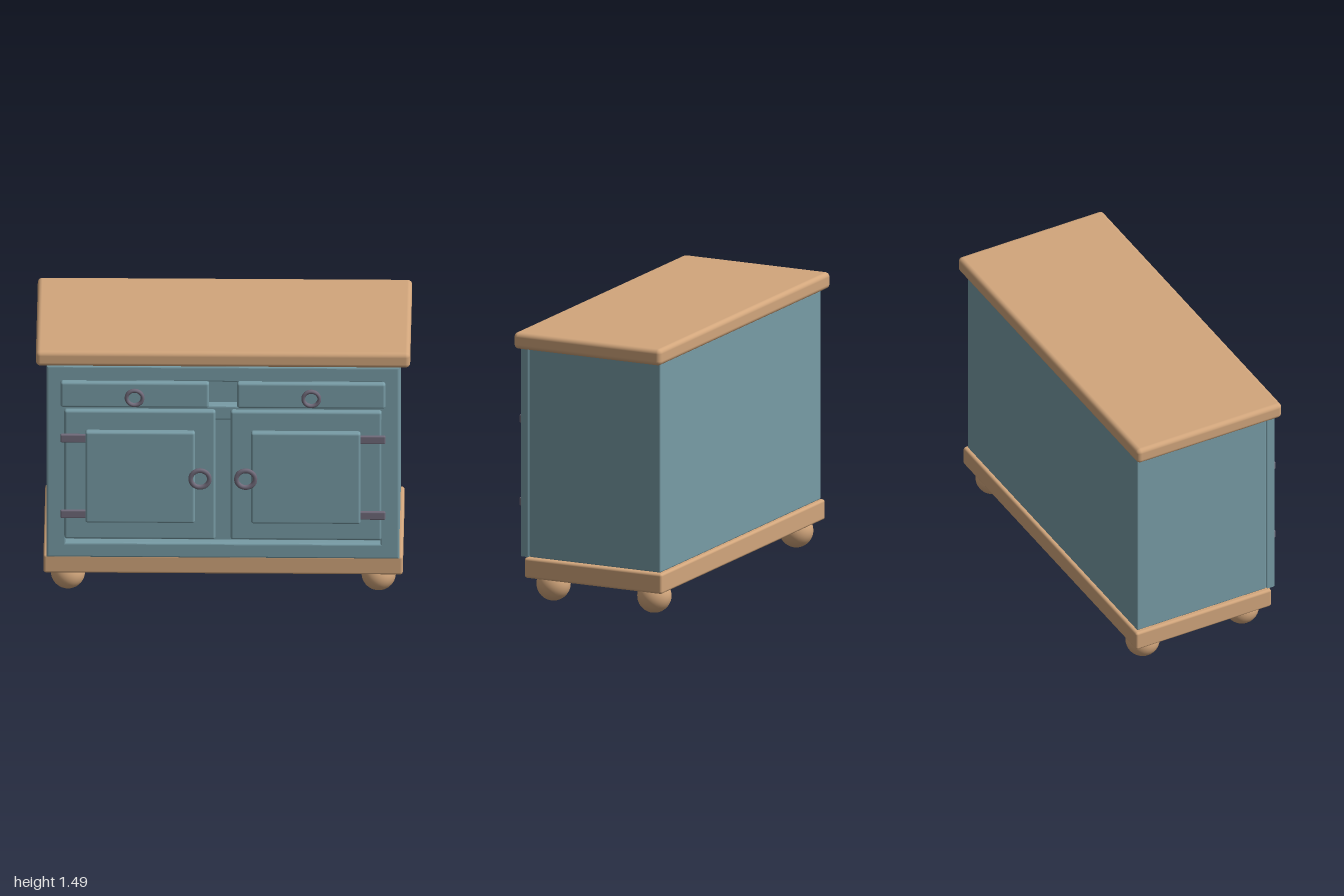
import * as THREE from 'three';
import { RoundedBoxGeometry } from 'three/addons/geometries/RoundedBoxGeometry.js';

const wood = new THREE.MeshStandardMaterial({ color: 0xd2a67c });
wood.name = 'warm wood';
const paint = new THREE.MeshStandardMaterial({ color: 0x789ca6 });
paint.name = 'blue paint';
const metal = new THREE.MeshStandardMaterial({ color: 0x706a7a });
metal.name = 'dark metal';

export function createModel() {
  const model = new THREE.Group();
  model.name = 'sideboard';

  const add = (name, geometry, material, x = 0, y = 0, z = 0) => {
    const mesh = new THREE.Mesh(geometry, material);
    mesh.name = name;
    mesh.position.set(x, y, z);
    model.add(mesh);
    return mesh;
  };

  // Rounded box given by its limits on each axis
  const slab = (name, material, [x0, x1], [y0, y1], [z0, z1], radius) =>
    add(name, new RoundedBoxGeometry(x1 - x0, y1 - y0, z1 - z0, 3, radius), material,
      (x0 + x1) / 2, (y0 + y1) / 2, (z0 + z1) / 2);

  // Flat ring facing the front, with rounded edges
  const ring = (name, x, y, z, inner, outer, depth) => {
    const b = 0.006, h = depth / 2;
    const profile = [
      [inner, -h + b], [inner + b, -h], [outer - b, -h], [outer, -h + b],
      [outer, h - b], [outer - b, h], [inner + b, h], [inner, h - b], [inner, -h + b],
    ].map(([r, t]) => new THREE.Vector2(r, t));
    const geometry = new THREE.LatheGeometry(profile, 32);
    geometry.rotateX(Math.PI / 2);
    add(name, geometry, metal, x, y, z);
  };

  const rect = (path, x0, x1, y0, y1) => {
    path.moveTo(x0, y0);
    path.lineTo(x1, y0);
    path.lineTo(x1, y1);
    path.lineTo(x0, y1);
    path.closePath();
    return path;
  };

  // Top, carcass and plinth
  slab('top', wood, [-1, 1], [1.4, 1.49], [-0.472, 0.412], 0.025);
  slab('body', paint, [-0.94, 0.94], [0.25, 1.4], [-0.443, 0.345], 0.008);
  slab('plinth', wood, [-0.96, 0.96], [0.137, 0.248], [-0.46, 0.367], 0.014);

  // Front frame with a drawer opening and a door opening
  const outline = rect(new THREE.Shape(), -0.943, 0.943, 0.25, 1.4);
  outline.holes.push(
    rect(new THREE.Path(), -0.84, 0.84, 1.165, 1.307),
    rect(new THREE.Path(), -0.84, 0.84, 0.338, 1.08),
  );
  const bevel = 0.01;
  const frame = new THREE.ExtrudeGeometry(outline, {
    depth: 0.055 - 2 * bevel, bevelSize: bevel, bevelThickness: bevel,
    bevelOffset: -bevel, bevelSegments: 3,
  });
  add('frontFrame', frame, paint, 0, 0, 0.343 + bevel);

  // Doors, drawers and hardware, mirrored about the middle
  for (const [side, s] of [['left', 1], ['right', -1]]) {
    const span = (a, b) => (s > 0 ? [a, b] : [-b, -a]);

    slab(`${side}Drawer`, paint, span(0.075, 0.868), [1.163, 1.315], [0.35, 0.425], 0.014);
    ring(`${side}DrawerPull`, s * 0.472, 1.23, 0.435, 0.033, 0.053, 0.022);

    slab(`${side}Door`, paint, span(0.04, 0.848), [0.373, 1.146], [0.35, 0.425], 0.014);
    slab(`${side}DoorPanel`, paint, span(0.15, 0.735), [0.485, 1.032], [0.41, 0.455], 0.013);
    ring(`${side}DoorPull`, s * 0.122, 0.76, 0.464, 0.038, 0.062, 0.022);

    for (const [level, y] of [['Upper', 0.985], ['Lower', 0.53]]) {
      slab(`${side}${level}Hinge`, metal, span(0.73, 0.868), [y - 0.024, y + 0.024], [0.423, 0.442], 0.007);
    }

    // Ball feet
    for (const [end, z] of [['Front', 0.255], ['Back', -0.35]]) {
      add(`${side}${end}Foot`, new THREE.SphereGeometry(0.092, 32, 20), wood, s * 0.83, 0.092, z);
    }
  }

  return model;
}
